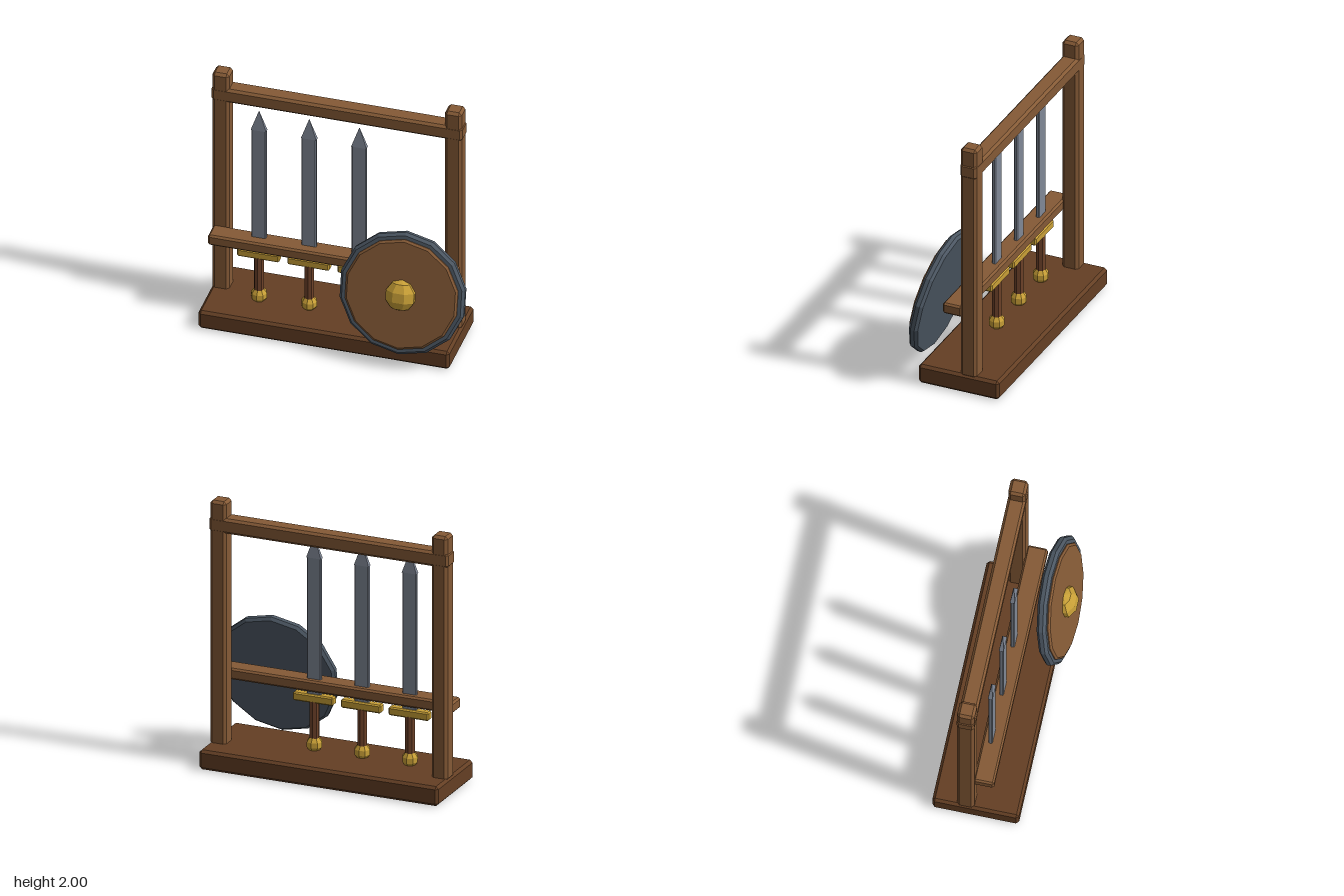
import * as THREE from 'three';
import { ConvexGeometry } from 'three/addons/geometries/ConvexGeometry.js';

const paint = (color) => new THREE.MeshStandardMaterial({ color, flatShading: true });
const wood = paint(0x855a36);
const darkWood = paint(0x643f24);
const leather = paint(0x6e4229);
const gold = paint(0xc9a037);
const steel = paint(0x808896);
const iron = paint(0x4d5864);

function add(parent, name, geometry, material, x = 0, y = 0, z = 0) {
  const mesh = new THREE.Mesh(geometry, material);
  mesh.name = name;
  mesh.position.set(x, y, z);
  parent.add(mesh);
  return mesh;
}

// Box with all edges and corners chamfered by c
function chamferBox(w, h, d, c) {
  const points = [];
  for (const i of [-1, 1]) for (const j of [-1, 1]) for (const k of [-1, 1]) {
    const [x, y, z] = [w / 2, h / 2, d / 2];
    points.push(
      new THREE.Vector3(i * x, j * (y - c), k * (z - c)),
      new THREE.Vector3(i * (x - c), j * y, k * (z - c)),
      new THREE.Vector3(i * (x - c), j * (y - c), k * z)
    );
  }
  return new ConvexGeometry(points);
}

// Faceted disc turned about z, from [radius, depth] pairs
function disc(profile) {
  const points = profile.map(([r, y]) => new THREE.Vector2(r, y));
  return new THREE.LatheGeometry(points, 14).rotateX(Math.PI / 2);
}

function createSword() {
  const sword = new THREE.Group();
  sword.name = 'sword';
  add(sword, 'blade', chamferBox(0.11, 1.06, 0.03, 0.006), steel, 0, 1.09, 0);
  const tip = new THREE.ConeGeometry(Math.SQRT1_2, 0.165, 4).rotateY(Math.PI / 4).scale(0.115, 1, 0.035);
  add(sword, 'bladeTip', tip, steel, 0, 1.6975, 0);
  add(sword, 'guard', chamferBox(0.315, 0.064, 0.066, 0.01), gold, 0, 0.542, 0);
  add(sword, 'grip', new THREE.CylinderGeometry(0.037, 0.037, 0.32, 8), leather, 0, 0.36, 0);
  add(sword, 'pommel', new THREE.SphereGeometry(0.062, 8, 5), gold, 0, 0.192, 0);
  return sword;
}

function createShield() {
  const shield = new THREE.Group();
  shield.name = 'shield';
  add(shield, 'shieldRim', disc([
    [0, -0.035], [0.455, -0.035], [0.475, -0.015], [0.475, 0.015], [0.455, 0.035], [0, 0.035]
  ]), iron);
  add(shield, 'shieldFace', disc([[0.428, 0.02], [0.428, 0.042], [0.412, 0.054], [0, 0.054]]), wood);
  const boss = new THREE.SphereGeometry(0.12, 8, 5).rotateY(Math.PI / 8).scale(1, 1, 0.68);
  add(shield, 'shieldBoss', boss, gold, 0, 0, 0.055);
  return shield;
}

export function createModel() {
  const model = new THREE.Group();
  model.name = 'weaponRack';
  const centre = -0.0625;

  // Wooden rack
  add(model, 'base', chamferBox(1.875, 0.15, 0.635, 0.02), darkWood, centre, 0.075, -0.055);
  for (const side of [-1, 1]) {
    add(model, side < 0 ? 'rightPost' : 'leftPost',
      chamferBox(0.126, 1.87, 0.128, 0.02), wood, centre + side * 0.868, 1.065, -0.13);
  }
  add(model, 'topBeam', chamferBox(1.875, 0.115, 0.13, 0.018), wood, centre, 1.8175, -0.13);
  add(model, 'swordShelf', chamferBox(1.84, 0.086, 0.152, 0.014), wood, centre, 0.647, 0.002);

  // Row of swords
  for (const x of [-0.625, -0.25, 0.125]) {
    const sword = createSword();
    sword.position.set(x, 0, -0.014);
    model.add(sword);
  }

  // Shield leaning back against the rack
  const shield = createShield();
  shield.position.set(0.524, 0.59, 0.234);
  shield.rotation.x = -0.205;
  model.add(shield);

  return model;
}
